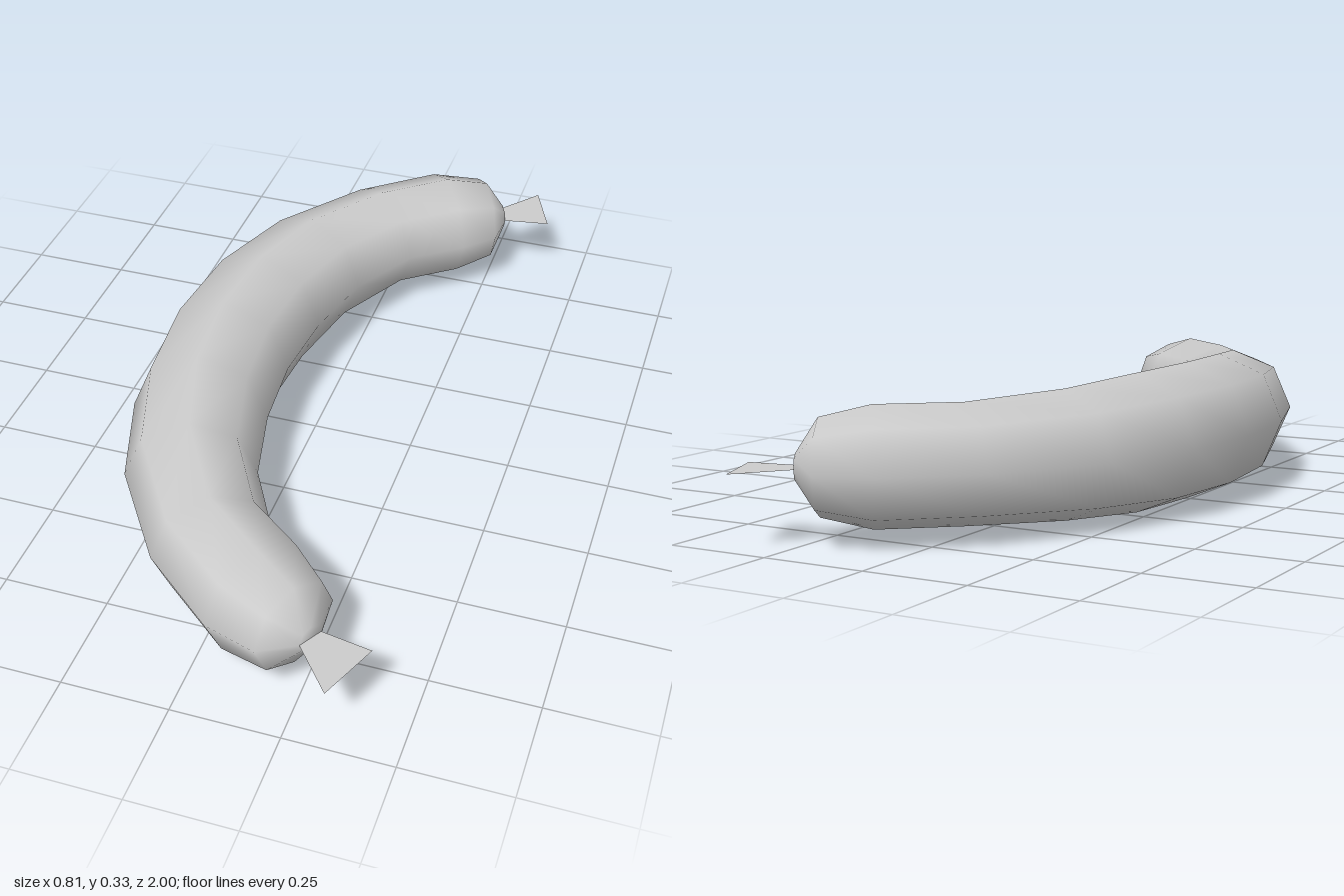
import * as THREE from 'three';

const MID_Y = 0.171;
const SIDES = 8;

// Half of the body, from the middle to one tip: outer x, z, inner x, z, half height
const HALF = [
  [-0.405, 0, -0.072, 0, 0.167],
  [-0.382, 0.25, -0.056, 0.2, 0.164],
  [-0.302, 0.5, -0.01, 0.4, 0.149],
  [-0.138, 0.742, 0.085, 0.573, 0.136],
  [0.045, 0.896, 0.21, 0.668, 0.136],
  [0.172, 0.937, 0.281, 0.742, 0.109],
  [0.255, 0.89, 0.287, 0.835, 0.031],
];

// Curved body lofted through octagonal rings, with closed tips
function buildBody(material) {
  const mirrored = HALF.slice(1).reverse().map(([ox, oz, ix, iz, h]) => [ox, -oz, ix, -iz, h]);
  const rings = [...mirrored, ...HALF];
  const positions = [];
  const index = [];
  for (const [ox, oz, ix, iz, h] of rings) {
    for (let j = 0; j < SIDES; j++) {
      const a = (j / SIDES) * Math.PI * 2;
      const c = Math.cos(a) / 2;
      positions.push(
        (ox + ix) / 2 + (ox - ix) * c,
        MID_Y + h * Math.sin(a),
        (oz + iz) / 2 + (oz - iz) * c
      );
    }
  }
  const last = rings.length - 1;
  for (let i = 0; i < last; i++) {
    for (let j = 0; j < SIDES; j++) {
      const k = (j + 1) % SIDES;
      const a = i * SIDES + j, b = i * SIDES + k;
      const c = a + SIDES, d = b + SIDES;
      index.push(a, c, b, b, c, d);
    }
  }
  // Tip caps
  for (const end of [0, last]) {
    const [ox, oz, ix, iz] = rings[end];
    const centre = positions.length / 3;
    positions.push((ox + ix) / 2, MID_Y, (oz + iz) / 2);
    for (let j = 0; j < SIDES; j++) {
      const a = end * SIDES + j, b = end * SIDES + ((j + 1) % SIDES);
      if (end === 0) index.push(centre, a, b);
      else index.push(centre, b, a);
    }
  }
  const geometry = new THREE.BufferGeometry();
  geometry.setAttribute('position', new THREE.Float32BufferAttribute(positions, 3));
  geometry.setIndex(index);
  geometry.computeVertexNormals();
  const body = new THREE.Mesh(geometry, material);
  body.name = 'sausageBody';
  return body;
}

// Flat flared casing tail at one tip; side is +1 (front) or -1 (back)
function buildTail(side, material) {
  const corners = [[0.255, 0.89], [0.345, 1], [0.403, 0.857], [0.285, 0.837]];
  const shape = new THREE.Shape(corners.map(([x, z]) => new THREE.Vector2(x, -z * side)));
  const geometry = new THREE.ShapeGeometry(shape);
  geometry.rotateX(-Math.PI / 2);
  geometry.translate(0, MID_Y, 0);
  const tail = new THREE.Mesh(geometry, material);
  tail.name = side > 0 ? 'frontCasingTail' : 'backCasingTail';
  return tail;
}

export function createModel() {
  const group = new THREE.Group();
  group.name = 'sausage';
  const skin = new THREE.MeshStandardMaterial({ color: 0xcccccc });
  const thin = new THREE.MeshStandardMaterial({ color: 0xcccccc, side: THREE.DoubleSide });
  group.add(buildBody(skin), buildTail(1, thin), buildTail(-1, thin));
  return group;
}
